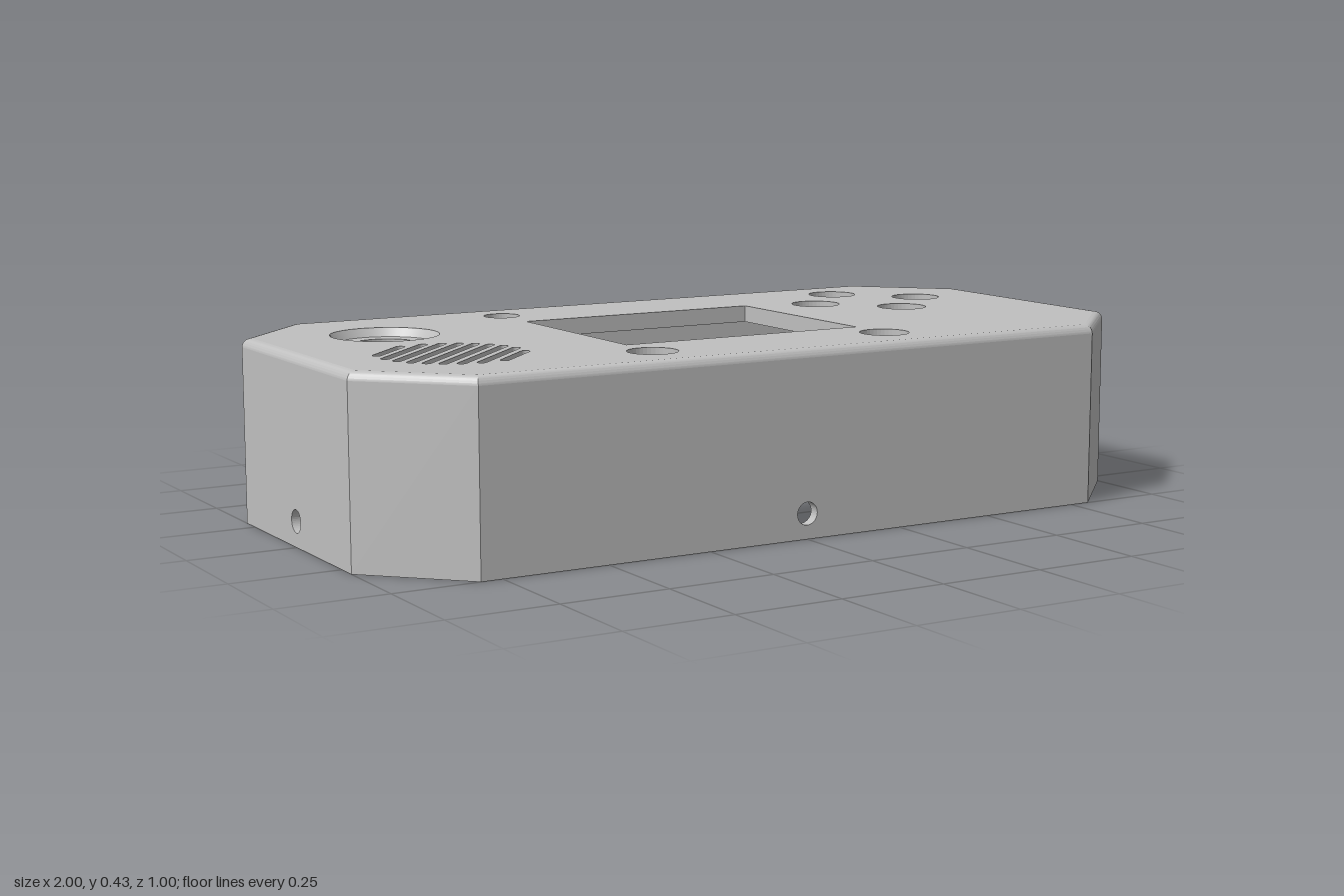
import * as THREE from 'three';
import { toCreasedNormals } from 'three/addons/utils/BufferGeometryUtils.js';

const H = 0.425, WALL = 0.025, LAYER = 0.02, ROUND = 0.02;
const K = Math.tan(Math.PI / 8);
const JOY = [-0.695, -0.2], SPEAKER = [-0.7, 0.165];

// Chamfered outline inset by d, anticlockwise seen from above (y is -z)
function outline(d) {
  const a = 0.8 - d * K, b = 0.5 - d, c = 1 - d, e = 0.3 - d * K;
  return [[a, -b], [c, -e], [c, e], [a, b], [-a, b], [-c, e], [-c, -e], [-a, -b]]
    .map(([x, y]) => new THREE.Vector2(x, y));
}

const circle = (x, y, r) => new THREE.Path().absarc(x, y, r, 0, Math.PI * 2, true);
const rect = (x0, y0, x1, y1) => new THREE.Path([[x0, y0], [x0, y1], [x1, y1], [x1, y0]]
  .map(p => new THREE.Vector2(...p)));

// Rounded diagonal slots that fill a circle
function grilleSlots() {
  const slots = [], r = 0.01;
  for (let i = -4; i <= 4; i++) {
    const d = i * 0.036, half = Math.sqrt(0.165 ** 2 - d * d) - r;
    const cx = SPEAKER[0] - d * Math.SQRT1_2, cy = -SPEAKER[1] + d * Math.SQRT1_2;
    const o = half * Math.SQRT1_2, q = Math.PI / 4;
    const p = new THREE.Path();
    p.absarc(cx + o, cy + o, r, q + Math.PI / 2, q - Math.PI / 2, true);
    p.absarc(cx - o, cy - o, r, q - Math.PI / 2, q - Math.PI * 1.5, true);
    p.closePath();
    slots.push(p);
  }
  return slots;
}

// Screen window, buttons and indicator, shared by both plate layers
function panelHoles() {
  const round = [
    [-0.31, -0.375, 0.043], [-0.31, 0.355, 0.057], [0.305, 0.355, 0.057],
    [0.635, -0.345, 0.06], [0.48, -0.19, 0.06], [0.79, -0.19, 0.06], [0.635, -0.035, 0.06],
  ];
  return [rect(-0.31, -0.24, 0.305, 0.245), ...round.map(([x, z, r]) => circle(x, -z, r))];
}

// Horizontal slab from y to y + depth
function slab(points, holes, y, depth) {
  const shape = new THREE.Shape(points);
  shape.holes.push(...holes);
  return new THREE.ExtrudeGeometry(shape, { depth, bevelEnabled: false, curveSegments: 20 })
    .rotateX(-Math.PI / 2).translate(0, y, 0);
}

// Upright wall with mitred ends, outer face at z = 0
function wallGeometry(length, holes) {
  const h = length / 2;
  const shape = new THREE.Shape([[-h, 0], [h, 0], [h, H - ROUND], [-h, H - ROUND]]
    .map(p => new THREE.Vector2(...p)));
  shape.holes.push(...holes);
  const g = new THREE.ExtrudeGeometry(shape, { depth: WALL, bevelEnabled: false, curveSegments: 20 })
    .translate(0, 0, -WALL);
  const p = g.attributes.position;
  for (let i = 0; i < p.count; i++) {
    const u = p.getX(i);
    if (p.getZ(i) < -WALL / 2 && Math.abs(u) > h - 1e-4) p.setX(i, u - Math.sign(u) * WALL * K);
  }
  return g;
}

// Rounded top edge swept around the outline
function roundedEdge() {
  const steps = 6, pos = [], index = [];
  for (let j = 0; j <= steps; j++) {
    const t = (j / steps) * Math.PI / 2;
    for (const p of outline(ROUND * (1 - Math.cos(t)))) {
      pos.push(p.x, H - ROUND + ROUND * Math.sin(t), -p.y);
    }
  }
  for (let j = 0; j < steps; j++) {
    for (let i = 0; i < 8; i++) {
      const a = j * 8 + i, b = j * 8 + (i + 1) % 8;
      index.push(a, b, b + 8, a, b + 8, a + 8);
    }
  }
  const g = new THREE.BufferGeometry();
  g.setAttribute('position', new THREE.Float32BufferAttribute(pos, 3));
  g.setIndex(index);
  return toCreasedNormals(g, 0.4);
}

export function createModel() {
  const model = new THREE.Group();
  model.name = 'enclosure';
  const grey = new THREE.MeshStandardMaterial({ color: 0xc0c0c0, side: THREE.DoubleSide });
  grey.name = 'grey plastic';
  const add = (name, geometry) => {
    const mesh = new THREE.Mesh(geometry, grey);
    mesh.name = name;
    model.add(mesh);
    return mesh;
  };

  // Eight walls; the four straight ones carry screw holes, the back a port
  const names = ['front', 'frontLeft', 'left', 'backLeft', 'back', 'backRight', 'right', 'frontRight'];
  const corners = outline(0);
  names.forEach((name, i) => {
    const a = corners[(i + 7) % 8], b = corners[i];
    const holes = i % 2 ? [] : [circle(0, 0.058, 0.026)];
    if (name === 'back') holes.push(rect(-0.53, 0.06, -0.337, 0.137));
    const wall = add(name + 'Wall', wallGeometry(a.distanceTo(b), holes));
    wall.position.set((a.x + b.x) / 2, 0, -(a.y + b.y) / 2);
    wall.rotation.y = i * Math.PI / 4;
  });
  add('roundedTopEdge', roundedEdge());

  // Top plate: outer layer with grille, inner layer with speaker seat
  add('topPlate', slab(outline(ROUND),
    [...panelHoles(), ...grilleSlots(), circle(JOY[0], -JOY[1], 0.125)], H - LAYER, LAYER));
  add('innerPlate', slab(outline(WALL),
    [...panelHoles(), circle(SPEAKER[0], -SPEAKER[1], 0.18), circle(JOY[0], -JOY[1], 0.072)],
    H - 2 * LAYER, LAYER));

  // Tapered side of the joystick recess
  add('joystickRecess', new THREE.LatheGeometry(
    [new THREE.Vector2(0.112, H - LAYER), new THREE.Vector2(0.125, H)], 48))
    .position.set(JOY[0], 0, JOY[1]);

  // Screw bosses under the plate
  for (const [x, z] of [[0.02, 0.33], [-0.845, -0.07]]) {
    const s = 0.04;
    const square = [[-s, -s], [s, -s], [s, s], [-s, s]].map(p => new THREE.Vector2(...p));
    add('screwBoss', slab(square, [circle(0, 0, 0.024)], 0.3, H - 2 * LAYER - 0.3))
      .position.set(x, 0, z);
  }

  // Rails beside the screen window
  for (const x of [-0.375, 0.355]) {
    add('screenRail', new THREE.BoxGeometry(0.025, 0.045, 0.2)).position.set(x, 0.365, 0.07);
  }
  return model;
}
